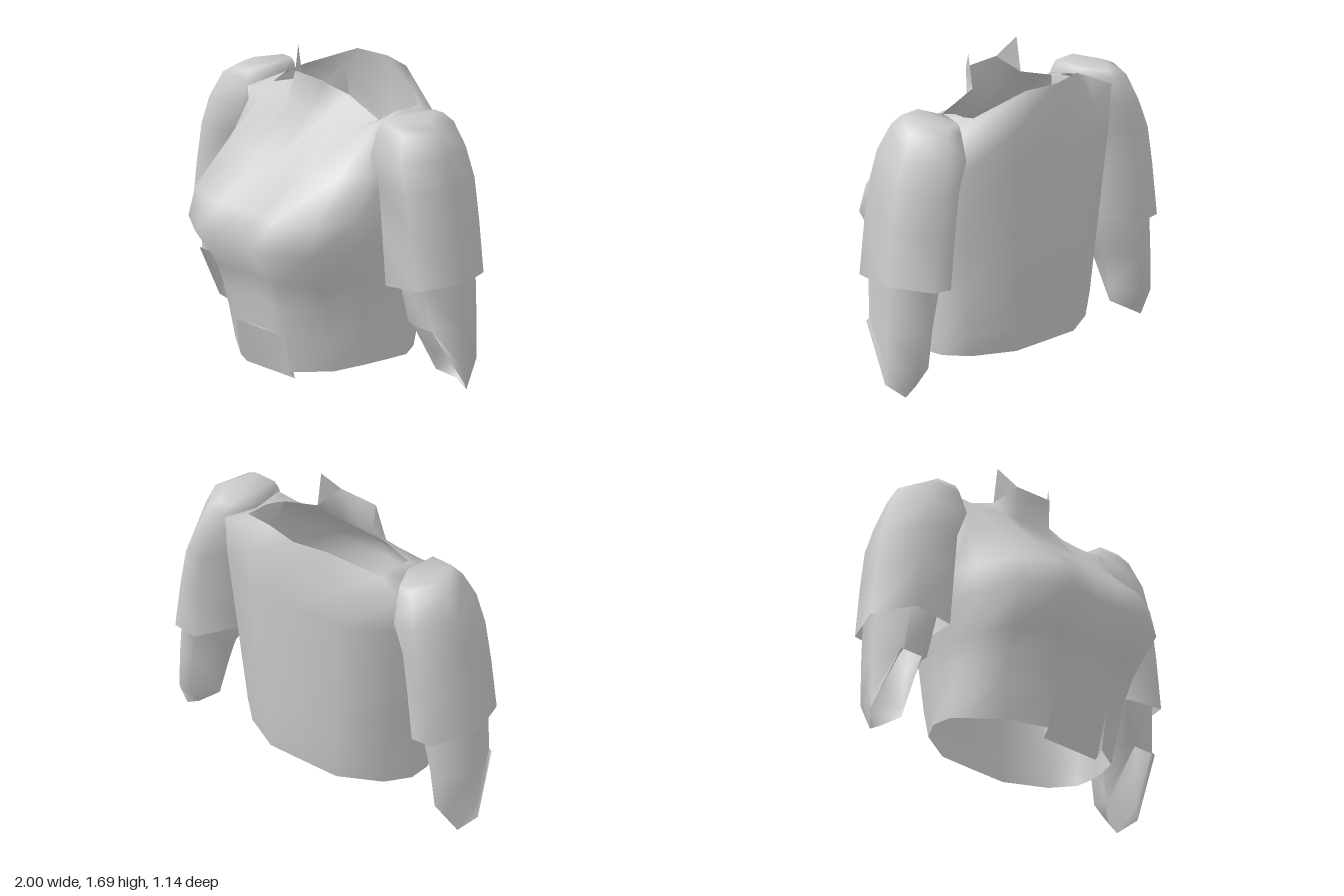
import * as THREE from 'three';
import { toCreasedNormals } from 'three/addons/utils/BufferGeometryUtils.js';

const cloth = new THREE.MeshStandardMaterial({ color: 0xcccccc, side: THREE.DoubleSide });
cloth.name = 'light grey cloth';

const { lerp } = THREE.MathUtils;
const mirror = ([x, y, z]) => [-x, y, z];

// Skin closed or open rings of [x, y, z], listed bottom to top
function loft(name, rings, { flip = false, closed = true, cap = false, skip = () => false } = {}) {
  const n = rings[0].length, index = [];
  const tri = (a, b, c) => (flip ? index.push(a, c, b) : index.push(a, b, c));
  for (let i = 0; i < rings.length - 1; i++) {
    for (let j = 0; j < (closed ? n : n - 1); j++) {
      if (skip(i, j)) continue;
      const a = i * n + j, b = i * n + (j + 1) % n;
      tri(a, b, b + n);
      tri(a, b + n, a + n);
    }
  }
  const top = (rings.length - 1) * n;
  if (cap) for (let j = 1; j < n - 1; j++) tri(top, top + j, top + j + 1);
  const g = new THREE.BufferGeometry();
  g.setAttribute('position', new THREE.Float32BufferAttribute(rings.flat(2), 3));
  g.setIndex(index);
  const mesh = new THREE.Mesh(toCreasedNormals(g, 1.6), cloth);
  mesh.name = name;
  return mesh;
}

// Half a body section, from front centre round the left side to back centre
function bodySection([y, frontZ, bustX, bustZ, flankX, flankZ, sideX]) {
  const sideZ = -0.09 + 0.07 * Math.min(1, y / 0.8);
  const backZ = -0.452 - 0.125 * y + 0.027 * y * y;
  const cornerX = Math.min(0.445 + 0.12 * y, 0.6);
  return [
    [0, frontZ], [bustX * 0.6, lerp(frontZ, bustZ, 0.6)], [bustX, bustZ], [flankX, flankZ],
    [lerp(flankX, sideX, 0.65), lerp(flankZ, sideZ, 0.6)], [sideX, sideZ], [sideX, -0.21],
    [cornerX, -0.335 - 0.04 * y], [cornerX / 2, backZ + 0.03 * y], [0, backZ],
  ].map(([x, z]) => [x, y, z]);
}

function torso() {
  // y, front z, bust x and z, flank x and z, side x
  const sections = [
    [0.05, 0.30, 0.20, 0.31, 0.40, 0.18, 0.54],
    [0.25, 0.34, 0.20, 0.345, 0.43, 0.20, 0.54],
    [0.42, 0.37, 0.22, 0.38, 0.43, 0.25, 0.54],
    [0.56, 0.40, 0.24, 0.43, 0.45, 0.30, 0.55],
    [0.77, 0.53, 0.27, 0.57, 0.50, 0.42, 0.59],
    [0.93, 0.46, 0.27, 0.50, 0.49, 0.38, 0.60],
    [1.16, 0.22, 0.25, 0.23, 0.45, 0.18, 0.60],
    [1.39, 0.00, 0.20, -0.01, 0.40, -0.03, 0.53],
  ].map(bodySection);
  // The hem rises from the front towards the sides
  sections[0] = sections[0].map(([x, , z]) => [x, Math.min(0.12, 0.045 + (0.31 - z) * 0.19), z]);
  // Wide neck opening, standing up at the throat and high at the back
  const rim = [
    [0, 1.58, 0], [0.12, 1.58, 0], [0.19, 1.5, -0.11], [0.43, 1.42, -0.11], [0.44, 1.43, -0.15],
    [0.45, 1.45, -0.22], [0.46, 1.45, -0.29], [0.46, 1.46, -0.36], [0.2, 1.58, -0.5], [0, 1.58, -0.54],
  ];
  const rings = [...sections, rim].map(h => [...h, ...h.slice(1, -1).reverse().map(mirror)]);
  // The lowest front centre is left open for the recessed flap
  const n = rings[0].length;
  return loft('torso', rings, { skip: (i, j) => i === 0 && (j < 2 || j >= n - 2) });
}

// Pointed collar wing beside the throat
function collarWing() {
  return [
    [[0.12, 1.575, 0], [0.19, 1.5, -0.11]],
    [[0.12, 1.58, 0], [0.19, 1.69, -0.08]],
  ];
}

// Flap at the lower front, set back and joined to the body by narrow side walls
function flap() {
  const across = half => [...half.map(mirror), ...half.slice().reverse()];
  return loft('frontFlap', [
    across([[0.2, 0.045, 0.31], [0.195, 0, 0.27]]),
    across([[0.2, 0.25, 0.345], [0.195, 0.25, 0.344]]),
  ], { closed: false });
}

// Six-sided arm section between an inner and an outer x, a back and a front z
function armSection([y, inner, outer, back, front]) {
  return [[0.33, back], [0.68, back], [1, -0.22], [0.78, front], [0.12, front], [0, -0.22]]
    .map(([t, z]) => [lerp(inner, outer, t), y, z]);
}

// Short outer sleeve with a slanted open hem
function upperSleeve() {
  const rings = [
    [0.62, 0.62, 1.00, -0.46, 0.04],
    [0.90, 0.59, 0.96, -0.46, 0.04],
    [1.12, 0.57, 0.915, -0.46, 0.04],
    [1.28, 0.49, 0.865, -0.45, 0.035],
    [1.42, 0.50, 0.80, -0.40, -0.02],
    [1.46, 0.52, 0.72, -0.37, -0.04],
  ].map(armSection);
  rings[0] = rings[0].map(([x, y, z]) => [x, y - (1 - x) * 0.105, z]);
  return rings;
}

// Forearm whose open end is cut obliquely, down to a point at the back
function forearm() {
  const cut = (x, z) => {
    const t = Math.max(0, (z + 0.3) / 0.26);
    return 0.38 * t ** 1.4 + Math.max(0, 1 - t) ** 4 * 0.6 * Math.max(0, 0.92 - x);
  };
  return [
    [0.00, 0.77, 1.00, -0.30, -0.04],
    [0.16, 0.76, 0.99, -0.38, -0.04],
    [0.38, 0.73, 0.985, -0.39, -0.04],
    [0.66, 0.67, 0.965, -0.41, -0.01],
  ].map((row, i) => armSection(row).map(([x, y, z]) => [x, Math.max(y, cut(x, z) + 0.004 * i), z]));
}

export function createModel() {
  const group = new THREE.Group();
  group.name = 'shirt';
  group.add(torso(), flap());
  // Left parts as shaped, right parts mirrored
  const pairs = [
    ['UpperSleeve', upperSleeve(), { cap: true }],
    ['Forearm', forearm(), {}],
    ['CollarWing', collarWing(), { closed: false }],
  ];
  for (const [part, rings, options] of pairs) {
    const flip = part !== 'CollarWing';
    group.add(
      loft('left' + part, rings, { ...options, flip }),
      loft('right' + part, rings.map(r => r.map(mirror)), { ...options, flip: !flip }),
    );
  }
  return group;
}
